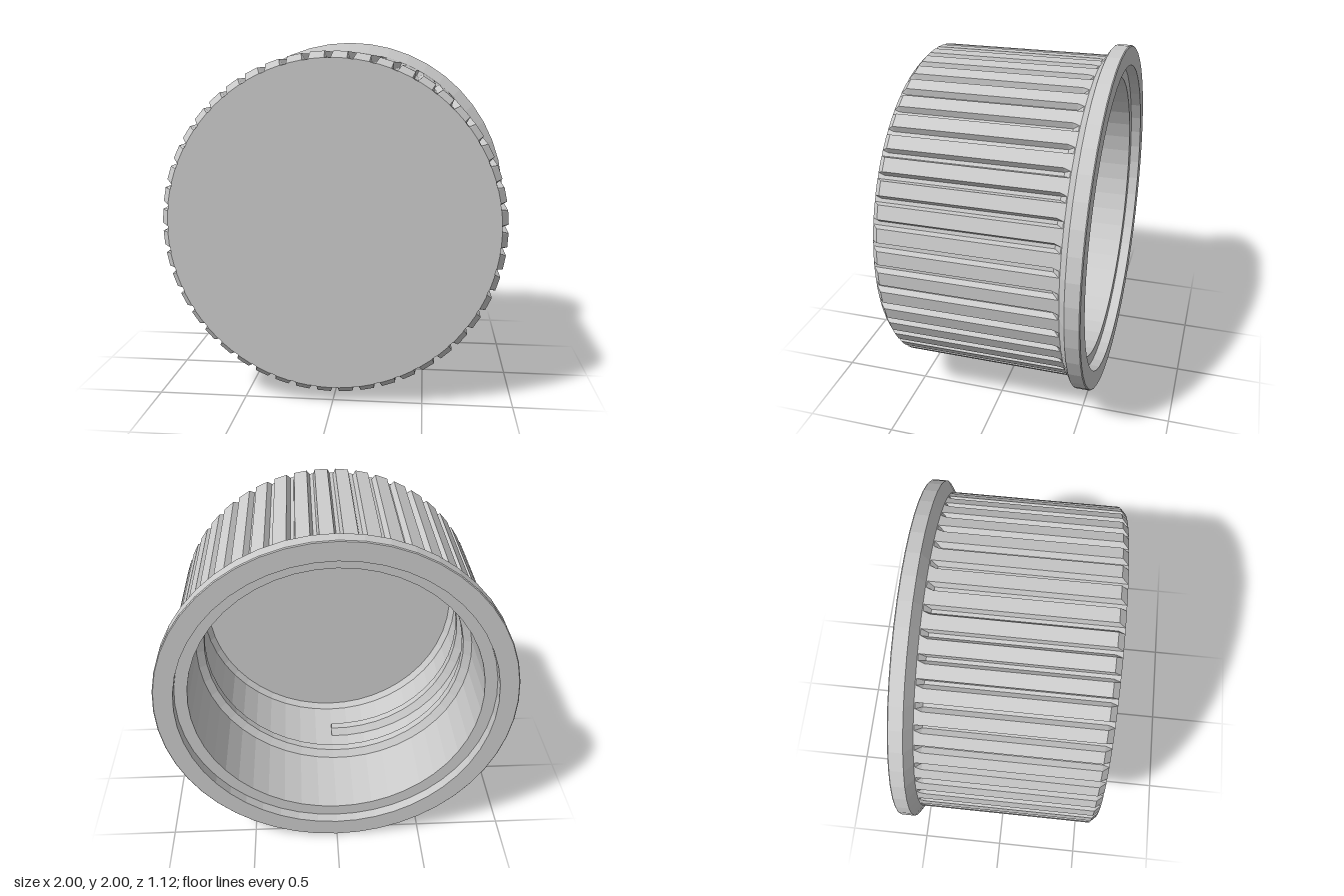
import * as THREE from 'three';

const SIDES = 48;
const TAU = Math.PI * 2;

// Skin a row of closed cross-sections (counter-clockwise along the direction of travel) and cap both ends
function loft(sections, capStart = true) {
  const pos = [];
  const tri = (...pts) => pts.forEach((p) => pos.push(...p));
  const n = sections[0].length;
  for (let k = 0; k < sections.length - 1; k++) {
    for (let i = 0; i < n; i++) {
      const j = (i + 1) % n;
      const a = sections[k][i], b = sections[k][j];
      const c = sections[k + 1][j], d = sections[k + 1][i];
      tri(a, b, c);
      tri(a, c, d);
    }
  }
  const first = sections[0], last = sections[sections.length - 1];
  for (let i = 1; i < n - 1; i++) {
    tri(last[0], last[i], last[i + 1]);
    if (capStart) tri(first[0], first[i + 1], first[i]);
  }
  const geo = new THREE.BufferGeometry();
  geo.setAttribute('position', new THREE.Float32BufferAttribute(pos, 3));
  geo.computeVertexNormals();
  return geo;
}

const polar = (r, angle, z) => [r * Math.cos(angle), r * Math.sin(angle), z];

// Outline of the grip: one trapezoid groove per side
function gripSection(z, outer, groove) {
  const ring = [];
  for (let i = 0; i < SIDES; i++) {
    const a = (i / SIDES) * TAU + 0.015;
    ring.push(
      polar(outer, a - 0.025, z), polar(groove, a - 0.011, z),
      polar(groove, a + 0.011, z), polar(outer, a + 0.025, z),
    );
  }
  return ring;
}

export function createModel() {
  const group = new THREE.Group();
  const material = new THREE.MeshStandardMaterial({ color: 0xcccccc, flatShading: true });
  const add = (name, geometry) => {
    const mesh = new THREE.Mesh(geometry, material);
    mesh.name = name;
    mesh.position.y = 1;
    group.add(mesh);
  };

  // Ribbed outer wall with bevelled front edge and closed front face
  add('ribbedGrip', loft([
    gripSection(-0.45, 0.937, 0.937),
    gripSection(-0.435, 0.937, 0.937),
    gripSection(-0.4, 0.937, 0.903),
    gripSection(0.525, 0.937, 0.903),
    gripSection(0.56, 0.902, 0.9),
  ], false));

  // Inner floor, bore, sealing ledge and outer flange in one turned profile
  const profile = [
    [0, 0.48], [0.79, 0.48], [0.82, 0.45], [0.82, -0.5], [0.89, -0.5], [0.89, -0.56],
    [0.995, -0.56], [1, -0.555], [1, -0.48], [0.94, -0.44], [0.91, -0.44],
  ].map(([r, z]) => new THREE.Vector2(r, z));
  const shell = new THREE.LatheGeometry(profile, SIDES);
  shell.rotateX(Math.PI / 2);
  add('flangeAndBore', shell);

  // Screw thread: a trapezoid ridge winding inward from the top
  const turns = 1.5, pitch = 0.22, steps = SIDES * turns;
  const ridge = [[0.835, -0.06], [0.775, -0.025], [0.775, 0.025], [0.835, 0.06]];
  const sections = [];
  for (let s = 0; s <= steps; s++) {
    const t = s / SIDES;
    sections.push(ridge.map(([r, dz]) => polar(r, Math.PI / 2 + t * TAU, -0.12 + pitch * t + dz)));
  }
  add('screwThread', loft(sections));

  return group;
}
